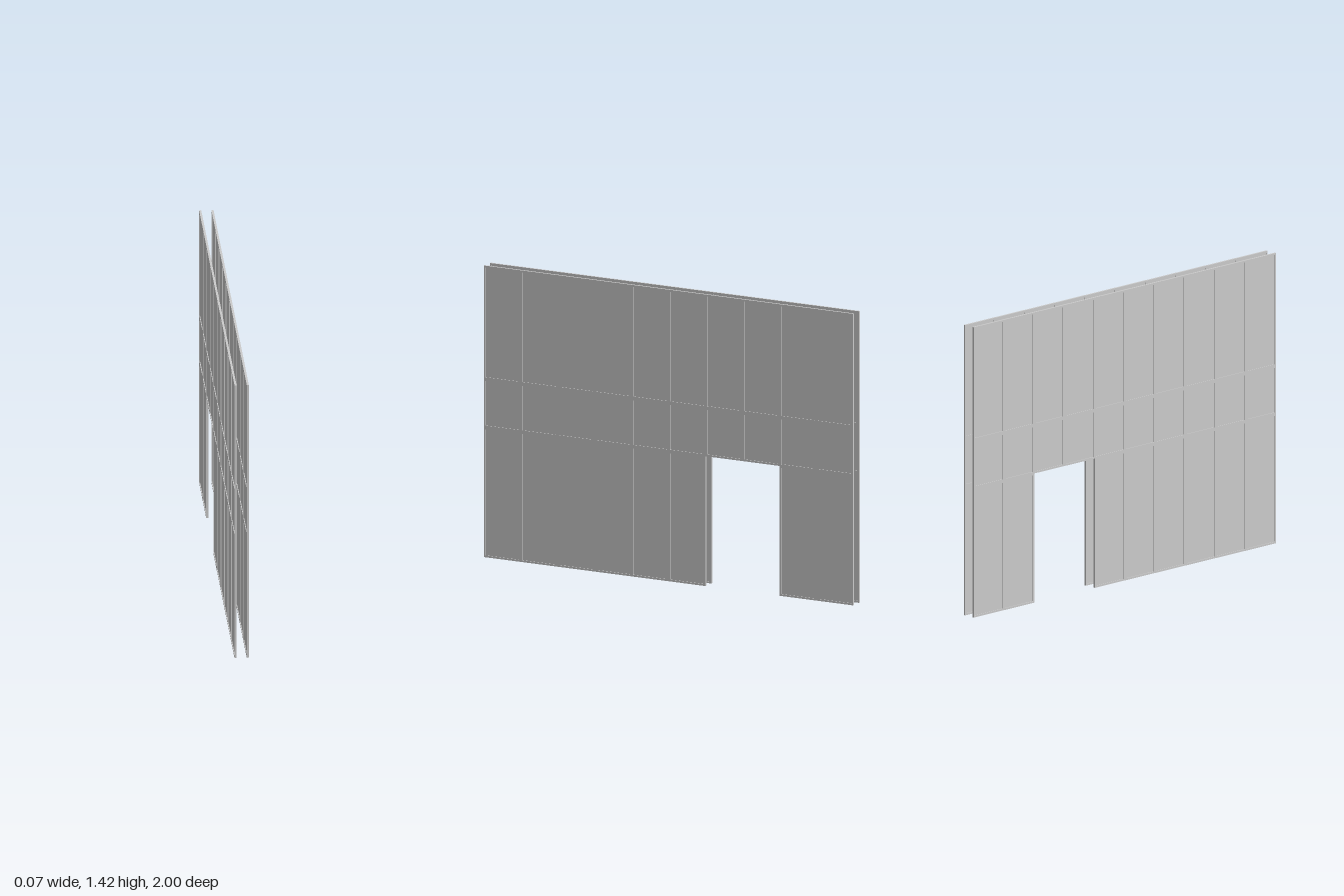
import * as THREE from 'three';

const ROWS = [0, 0.631, 0.866, 1.417]; // heights of the horizontal joints
const COLUMNS = 10, PANEL = 0.2;       // panels along z
const DOOR = [2, 3];                   // columns left open in the bottom row
const BAR = 0.009;                     // frame bar width of a single panel
const DEPTH = 0.01, SHEET = 0.003;     // frame and infill thickness
const OFFSET = 0.029;                  // wall centre distance from the middle

// Wall outline with the doorway, drawn as (z, y)
function wallOutline() {
  const top = ROWS[3], head = ROWS[1];
  const a = -1 + DOOR[0] * PANEL, b = -1 + (DOOR[1] + 1) * PANEL;
  return new THREE.Shape([
    [-1, 0], [a, 0], [a, head], [b, head], [b, 0], [1, 0], [1, top], [-1, top],
  ].map(([z, y]) => new THREE.Vector2(z, y)));
}

// Extrude a (z, y) shape into a slab centred on x = 0
function slab(shape, depth) {
  return new THREE.ExtrudeGeometry(shape, { depth, bevelEnabled: false })
    .translate(0, 0, -depth / 2)
    .rotateY(-Math.PI / 2);
}

// Lattice of panel frames: one opening per panel
function frameGeometry() {
  const shape = wallOutline();
  for (let row = 0; row < 3; row++) {
    for (let col = 0; col < COLUMNS; col++) {
      if (row === 0 && DOOR.includes(col)) continue;
      const z0 = -1 + col * PANEL + BAR, z1 = -1 + (col + 1) * PANEL - BAR;
      const y0 = ROWS[row] + BAR, y1 = ROWS[row + 1] - BAR;
      shape.holes.push(new THREE.Path([
        new THREE.Vector2(z0, y0), new THREE.Vector2(z0, y1),
        new THREE.Vector2(z1, y1), new THREE.Vector2(z1, y0),
      ]));
    }
  }
  return slab(shape, DEPTH);
}

// Thin infill sheets, one per panel, set midway in the frame
function addSheets(wall, material) {
  for (let row = 0; row < 3; row++) {
    const height = ROWS[row + 1] - ROWS[row] - 2 * BAR;
    const geometry = new THREE.BoxGeometry(SHEET, height, PANEL - 2 * BAR);
    for (let col = 0; col < COLUMNS; col++) {
      if (row === 0 && DOOR.includes(col)) continue;
      const sheet = new THREE.Mesh(geometry, material);
      sheet.name = 'panelSheet';
      sheet.position.set(0, (ROWS[row] + ROWS[row + 1]) / 2, -1 + (col + 0.5) * PANEL);
      wall.add(sheet);
    }
  }
}

export function createModel() {
  const model = new THREE.Group();
  model.name = 'doublePanelWall';
  const material = new THREE.MeshStandardMaterial({ color: 0xcccccc });
  const frame = frameGeometry();

  // Two parallel wall skins
  for (const side of [-1, 1]) {
    const wall = new THREE.Group();
    wall.name = side > 0 ? 'leftWall' : 'rightWall';
    wall.position.x = side * OFFSET;
    const lattice = new THREE.Mesh(frame, material);
    lattice.name = 'panelFrames';
    wall.add(lattice);
    addSheets(wall, material);
    model.add(wall);
  }
  return model;
}
